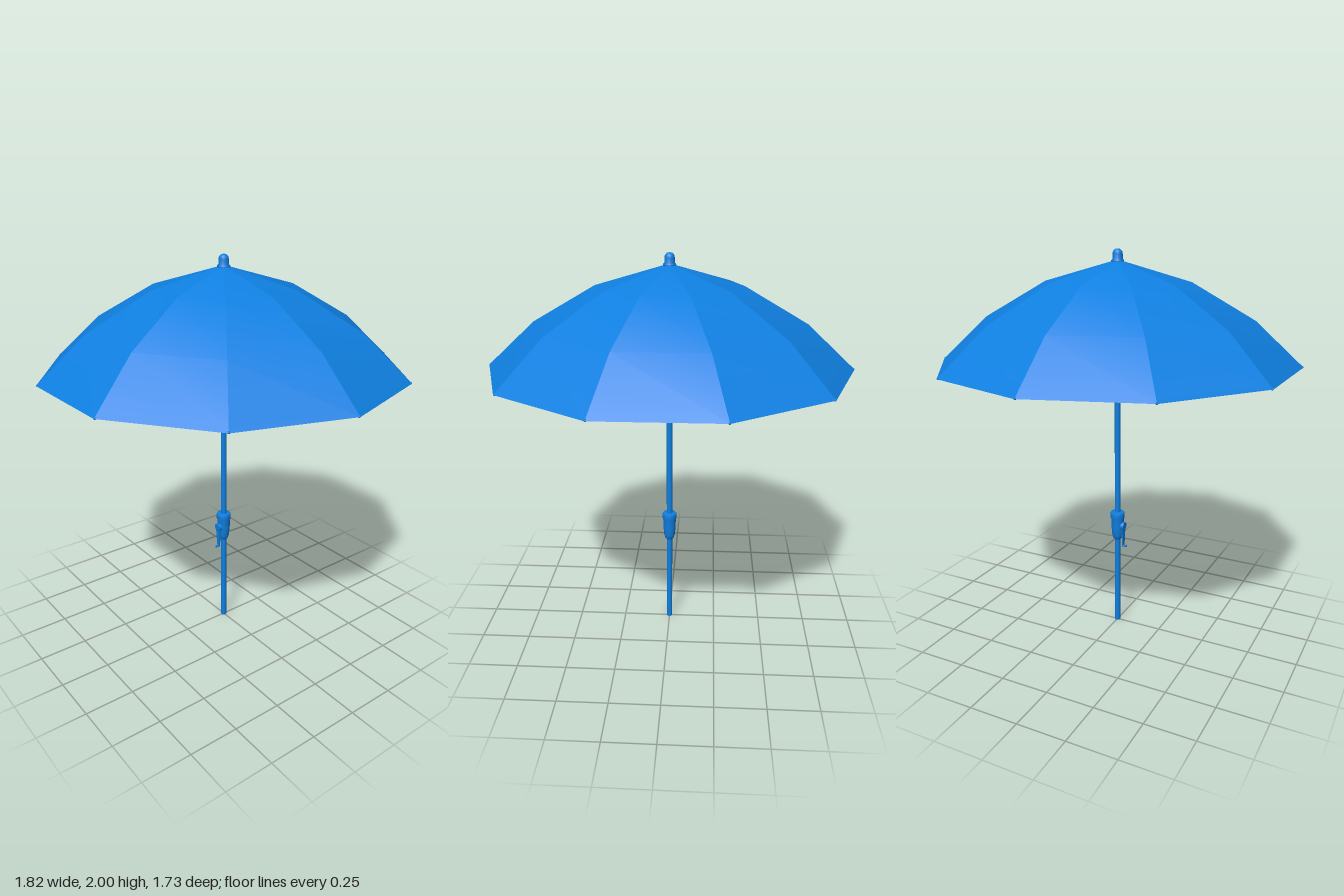
import * as THREE from 'three';

const blue = new THREE.MeshStandardMaterial({ color: 0x0f7fe0 });
const cloth = new THREE.MeshStandardMaterial({ color: 0x0f7fe0, side: THREE.DoubleSide });

function add(parent, name, geometry, x = 0, y = 0, z = 0) {
  const mesh = new THREE.Mesh(geometry, blue);
  mesh.name = name;
  mesh.position.set(x, y, z);
  parent.add(mesh);
  return mesh;
}

function lathe(points, sides) {
  return new THREE.LatheGeometry(points.map(p => new THREE.Vector2(...p)), sides);
}

// Canopy rib profile: [radius, height]
const RIB = [[0.012, 1.945], [0.36, 1.845], [0.67, 1.667], [0.91, 1.447]];
const PANELS = 10;

// One cloth panel between two ribs, smooth inside and creased at the ribs
function panelGeometry(a0, a1) {
  const pos = [], index = [];
  RIB.forEach(([r, y], i) => {
    for (const a of [a0, a1]) pos.push(r * Math.cos(a), y, r * Math.sin(a));
    if (i) {
      const k = 2 * i;
      index.push(k - 2, k - 1, k, k - 1, k + 1, k);
    }
  });
  const g = new THREE.BufferGeometry();
  g.setAttribute('position', new THREE.Float32BufferAttribute(pos, 3));
  g.setIndex(index);
  g.computeVertexNormals();
  return g;
}

export function createModel() {
  const model = new THREE.Group();
  model.name = 'parasol';

  // Canopy panels with a small tip at the end of each rib
  const canopy = new THREE.Group();
  canopy.name = 'canopy';
  model.add(canopy);
  for (let i = 0; i < PANELS; i++) {
    const a = (i / PANELS) * Math.PI * 2;
    const panel = add(canopy, 'canopyPanel', panelGeometry(a, a + Math.PI * 2 / PANELS));
    panel.material = cloth;
    add(canopy, 'ribTip', new THREE.SphereGeometry(0.006, 8, 6),
      0.904 * Math.cos(a), 1.448, 0.904 * Math.sin(a));
  }

  // Pole
  add(model, 'pole', new THREE.CylinderGeometry(0.015, 0.015, 1.95, 16), 0, 0.975, 0);

  // Finial: collar and rounded cap
  add(model, 'finial', lathe([
    [0, 1.936], [0.031, 1.936], [0.032, 1.945], [0.025, 1.952], [0.025, 1.975],
    [0.022, 1.988], [0.013, 1.997], [0, 2],
  ], 16));

  // Crank housing around the pole
  const crank = new THREE.Group();
  crank.name = 'crank';
  model.add(crank);
  add(crank, 'crankHousing', lathe([
    [0.015, 0.488], [0.022, 0.494], [0.029, 0.515], [0.033, 0.56], [0.034, 0.605],
    [0.038, 0.615], [0.038, 0.638], [0.034, 0.645], [0.015, 0.645],
  ], 20));

  // Crank hub facing the front
  const hub = add(crank, 'crankHub', new THREE.CylinderGeometry(0.021, 0.023, 0.024, 16), 0, 0.568, 0.031);
  hub.rotation.x = Math.PI / 2;

  // Tapered arm hanging from the hub
  const arm = new THREE.Shape();
  arm.moveTo(-0.02, 0.568);
  arm.lineTo(-0.007, 0.452);
  arm.lineTo(0.007, 0.452);
  arm.lineTo(0.02, 0.568);
  arm.closePath();
  add(crank, 'crankArm', new THREE.ExtrudeGeometry(arm, { depth: 0.007, bevelEnabled: false }), 0, 0, 0.031);

  // Grip at the end of the arm
  const grip = add(crank, 'crankGrip', new THREE.CylinderGeometry(0.006, 0.006, 0.02, 10), 0, 0.454, 0.043);
  grip.rotation.x = Math.PI / 2;

  return model;
}
